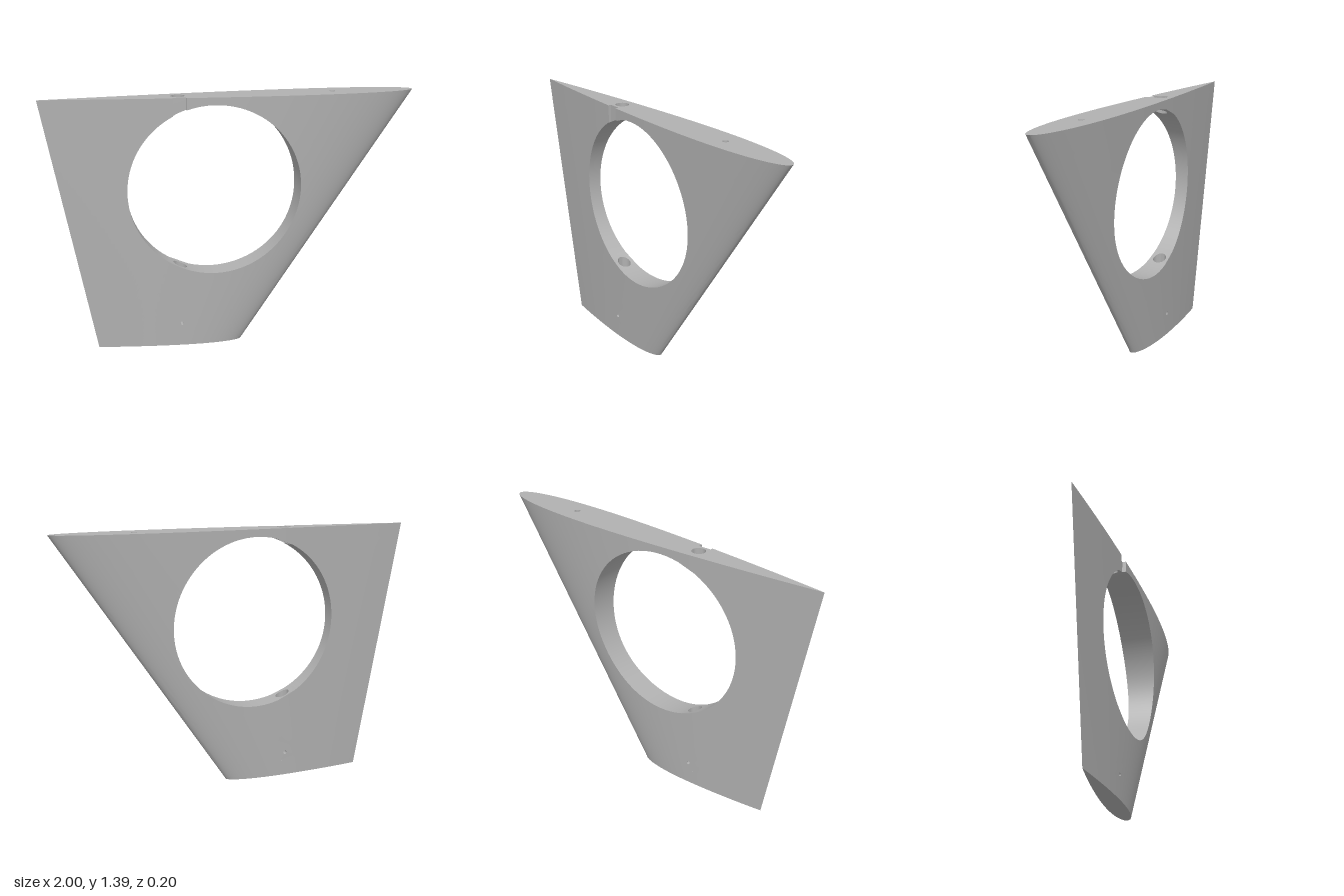
import * as THREE from 'three';
import { toCreasedNormals } from 'three/addons/utils/BufferGeometryUtils.js';

const TOP = 1.39;
const HOLE = { x: -0.09, y: 0.885, r: 0.465 };      // large round opening
const BORE = { x: -0.277, r: 0.037, floor: 0.16 };  // vertical rod socket
const SMALL = { x: 0.555, r: 0.016, floor: 1.2 };   // small socket in the top
const PIN = { x: -0.277, y: 0.13, r: 0.01 };        // cross hole near the foot
const NOTCH = { x0: -0.24, x1: -0.31, z: 0.052 };   // cable groove on the front
const lerp = THREE.MathUtils.lerp;

// Half thickness of the tapered aerofoil at (x, y)
function half(x, y) {
  const v = y / TOP;
  const lead = lerp(0.06, 1, v), trail = lerp(-0.735, -1, v);
  const q = THREE.MathUtils.clamp((lead - x) / (lead - trail), 0, 1);
  const t = 0.2969 * Math.sqrt(q) - 0.126 * q - 0.3516 * q ** 2 + 0.2843 * q ** 3 - 0.1036 * q ** 4;
  return Math.max(0, lerp(0.0515, 0.1, v) * 10 * t);
}

// Collects triangles into one creased mesh
class Part {
  constructor() { this.pos = []; }
  tri(a, b, c, flip = false) {
    const [A, B, C] = [a, b, c].map(p => new THREE.Vector3(...p));
    if (B.clone().sub(A).cross(C.clone().sub(A)).length() < 1e-10) return;
    this.pos.push(...a, ...(flip ? c : b), ...(flip ? b : c));
  }
  quad(a, b, c, d, flip) { this.tri(a, b, c, flip); this.tri(a, c, d, flip); }
  // Fills a flat outline with holes, then maps it into space
  patch(outline, holes, map, flip = false) {
    const clean = outline.filter((p, i) => {
      const o = outline[(i + 1) % outline.length];
      return Math.hypot(p[0] - o[0], p[1] - o[1]) > 1e-7;
    });
    const vec = l => l.map(p => new THREE.Vector2(p[0], p[1]));
    let contour = vec(clean);
    if (THREE.ShapeUtils.isClockWise(contour)) contour.reverse();
    const cuts = holes.map(vec);
    const all = [contour, ...cuts].flat();
    for (const f of THREE.ShapeUtils.triangulateShape(contour, cuts)) {
      const [a, b, c] = f.map(i => all[i]);
      const area = (b.x - a.x) * (c.y - a.y) - (b.y - a.y) * (c.x - a.x);
      this.tri(map(a.x, a.y), map(b.x, b.y), map(c.x, c.y), (area < 0) !== flip);
    }
  }
  // Inward-facing tube between two loops of points
  tube(n, from, to, flip) {
    for (let i = 0; i < n; i++) {
      const a = i / n * Math.PI * 2, b = (i + 1) / n * Math.PI * 2;
      this.quad(from(a), from(b), to(b), to(a), flip);
    }
  }
  mesh(name, material) {
    const g = new THREE.BufferGeometry();
    g.setAttribute('position', new THREE.Float32BufferAttribute(this.pos, 3));
    const m = new THREE.Mesh(toCreasedNormals(g, 0.6), material);
    m.name = name;
    return m;
  }
}

const circle = (x, y, r, n = 28) => Array.from({ length: n }, (_, i) => {
  const a = i / n * Math.PI * 2;
  return [x + r * Math.cos(a), y + r * Math.sin(a)];
});
const angleAtX = x => Math.acos((x - HOLE.x) / HOLE.r);

// Columns running from the opening to the outer edge, counterclockwise
function makeColumns() {
  const TR = [1, TOP], TL = [-1, TOP], BL = [-0.735, 0], BR = [0.06, 0];
  const N0 = [NOTCH.x0, TOP], N1 = [NOTCH.x1, TOP];
  const segments = [
    { from: TR, to: N0, n: 60, ease: t => t * t, edge: 'top', end: angleAtX(NOTCH.x0) },
    { from: N0, to: N1, n: 8, edge: 'top', notch: true, end: angleAtX(NOTCH.x1) },
    { from: N1, to: TL, n: 16, edge: 'top' },
    { from: TL, to: BL, n: 30 },
    { from: BL, to: BR, n: 30, ease: t => 1 - (1 - t) ** 2, edge: 'bottom' },
    { from: BR, to: TR, n: 44 },
  ];
  const columns = [];
  let last = 0, start = null;
  for (const s of segments) {
    const pts = [];
    for (let i = 0; i <= s.n; i++) {
      const t = s.ease ? s.ease(i / s.n) : i / s.n;
      const x = lerp(s.from[0], s.to[0], t), y = lerp(s.from[1], s.to[1], t);
      let ray = Math.atan2(y - HOLE.y, x - HOLE.x);
      while (ray < last - 1e-4) ray += Math.PI * 2;
      last = ray;
      pts.push({ x, y, ray, edge: s.edge, notch: s.notch });
    }
    const r0 = pts[0].ray, r1 = pts[s.n].ray;
    const a0 = start ?? r0, a1 = s.end ?? r1;
    for (const p of pts) columns.push({ ...p, angle: lerp(a0, a1, (p.ray - r0) / (r1 - r0)) });
    start = a1;
  }
  return columns;
}

export function createModel() {
  const grey = new THREE.MeshStandardMaterial({ color: 0xb0b0b0 });
  grey.name = 'grey';
  const group = new THREE.Group();
  group.name = 'fin';
  const cols = makeColumns(), ROWS = 16;

  const xy = (i, j) => {
    const c = cols[i], s = 1 - (1 - j / ROWS) ** 2;
    return [lerp(HOLE.x + HOLE.r * Math.cos(c.angle), c.x, s),
      lerp(HOLE.y + HOLE.r * Math.sin(c.angle), c.y, s)];
  };
  const point = (i, j, side) => {
    const [x, y] = xy(i, j);
    return [x, y, side > 0 && cols[i].notch ? NOTCH.z : side * half(x, y)];
  };

  // Curved skins on both sides, with a patch around the cross hole
  let best = 1, pi = 0, pj = 0;
  cols.forEach((c, i) => {
    for (let j = 3; j < ROWS - 2; j++) {
      const [x, y] = xy(i, j), d = Math.hypot(x - PIN.x, y - PIN.y);
      if (d < best) { best = d; pi = i; pj = j; }
    }
  });
  const skin = new Part();
  const ring = [];
  for (let k = -2; k < 2; k++) ring.push(xy(pi + k, pj - 2));
  for (let k = -2; k < 2; k++) ring.push(xy(pi + 2, pj + k));
  for (let k = 2; k > -2; k--) ring.push(xy(pi + k, pj + 2));
  for (let k = 2; k > -2; k--) ring.push(xy(pi - 2, pj + k));
  for (const side of [1, -1]) {
    for (let i = 0; i < cols.length - 1; i++) for (let j = 0; j < ROWS; j++) {
      if (i >= pi - 2 && i < pi + 2 && j >= pj - 2 && j < pj + 2) continue;
      skin.quad(point(i, j, side), point(i, j + 1, side), point(i + 1, j + 1, side), point(i + 1, j, side), side < 0);
    }
    skin.patch(ring, [circle(PIN.x, PIN.y, PIN.r, 16)], (x, y) => [x, y, side * half(x, y)], side < 0);
  }
  group.add(skin.mesh('skin', grey));

  // Flat ends
  for (const [edge, y, holes] of [
    ['top', TOP, [circle(BORE.x, 0, BORE.r), circle(SMALL.x, 0, SMALL.r)]], ['bottom', 0, []]]) {
    const ids = cols.map((c, i) => i).filter(i => cols[i].edge === edge);
    const rim = side => ids.map(i => point(i, ROWS, side)).map(p => [p[0], p[2]]);
    const cap = new Part();
    cap.patch([...rim(1), ...rim(-1).reverse()], holes, (x, z) => [x, y, z], edge === 'top');
    group.add(cap.mesh(edge + 'Cap', grey));
  }

  // Wall of the round opening, with patches where the rod socket breaks through
  const wall = new Part();
  const onWall = (a, z) => [HOLE.x + HOLE.r * Math.cos(a), HOLE.y + HOLE.r * Math.sin(a), z];
  const ranges = [1, -1].map(dir => {
    const turn = a => dir > 0 ? a : Math.PI * 2 - a;
    const mouth = circle(BORE.x, 0, BORE.r).map(([x, z]) => [turn(angleAtX(x)), z]);
    const lo = Math.min(...mouth.map(p => p[0])) - 0.01, hi = Math.max(...mouth.map(p => p[0])) + 0.01;
    const i0 = cols.findLastIndex(c => c.angle < lo), i1 = cols.findIndex(c => c.angle > hi);
    const line = side => cols.slice(i0, i1 + 1).map((c, k) => [c.angle, point(i0 + k, 0, side)[2]]);
    wall.patch([...line(1), ...line(-1).reverse()], [mouth], onWall, true);
    return [i0, i1];
  });
  for (let i = 0; i < cols.length - 1; i++) {
    if (ranges.some(([a, b]) => i >= a && i < b)) continue;
    wall.quad(point(i, 0, 1), point(i + 1, 0, 1), point(i + 1, 0, -1), point(i, 0, -1));
  }
  group.add(wall.mesh('openingWall', grey));

  // Vertical sockets and the cross hole
  const loop = (h, yAt) => a => {
    const x = h.x + h.r * Math.cos(a);
    return [x, yAt(x), h.r * Math.sin(a)];
  };
  const arc = s => x => HOLE.y + s * Math.sqrt(HOLE.r ** 2 - (x - HOLE.x) ** 2);
  const sockets = new Part();
  sockets.tube(28, loop(BORE, () => TOP), loop(BORE, arc(1)), true);
  sockets.tube(28, loop(BORE, arc(-1)), loop(BORE, () => BORE.floor), true);
  sockets.tube(28, loop(SMALL, () => TOP), loop(SMALL, () => SMALL.floor), true);
  for (const h of [BORE, SMALL])
    sockets.patch(circle(h.x, 0, h.r), [], (x, z) => [x, h.floor, z], true);
  group.add(sockets.mesh('sockets', grey));

  const pinHole = new Part();
  const pinLoop = side => a => {
    const x = PIN.x + PIN.r * Math.cos(a), y = PIN.y + PIN.r * Math.sin(a);
    return [x, y, side * half(x, y)];
  };
  pinHole.tube(16, pinLoop(1), pinLoop(-1), false);
  group.add(pinHole.mesh('crossHole', grey));
  return group;
}
